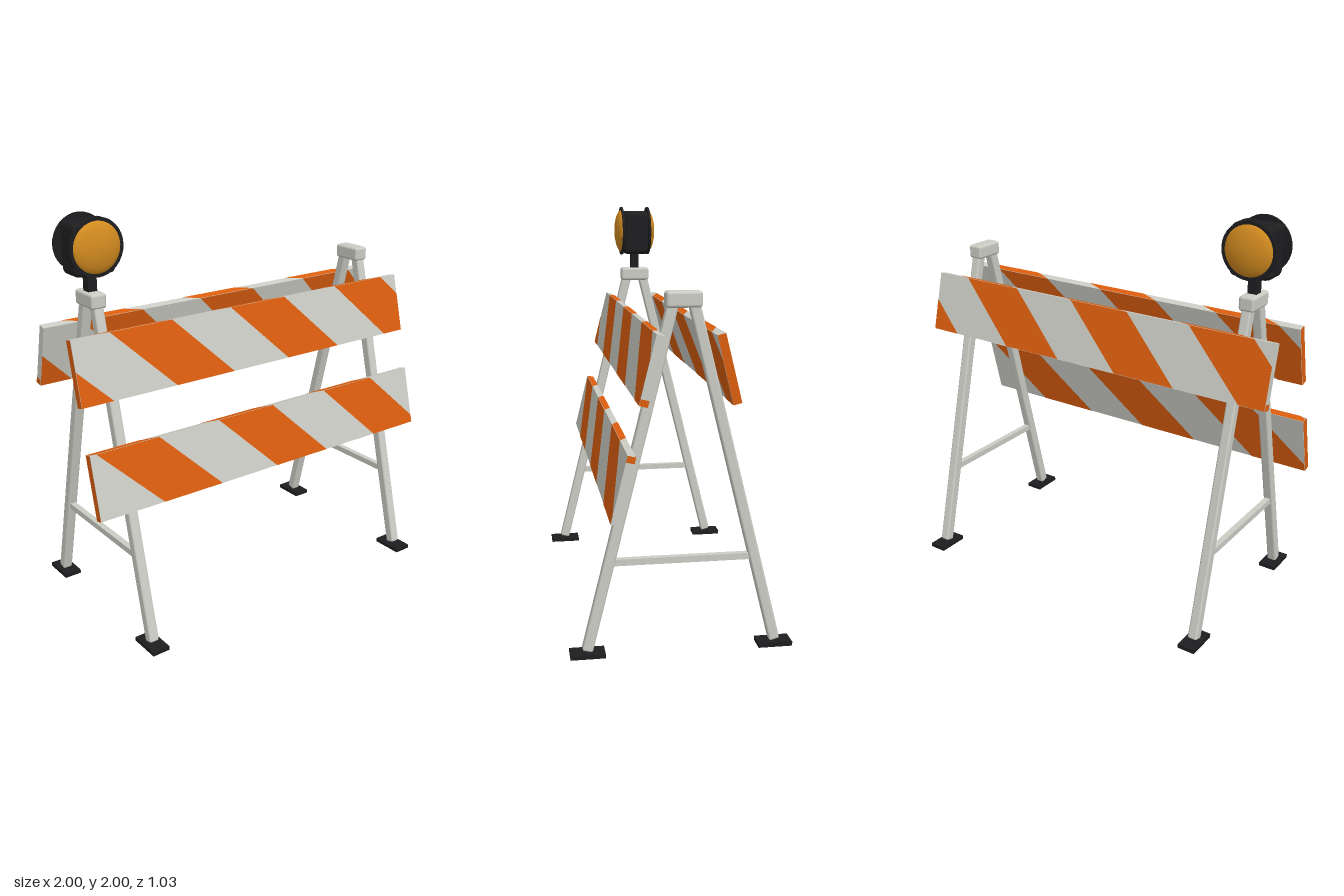
import * as THREE from 'three';
import { RoundedBoxGeometry } from 'three/addons/geometries/RoundedBoxGeometry.js';

const mat = (name, color) => {
  const m = new THREE.MeshStandardMaterial({ color });
  m.name = name;
  return m;
};

const TILT = 0.243;            // lean of legs and boards
const HALF = 0.997;            // half length of a board
const H = 0.308, T = 0.038;    // board height and thickness
const STRIPE = 0.335, STEP = 0.678;
const SKIN = 0.0015;           // painted faces sit just off the board

export function createModel() {
  const pale = mat('paleGrey', 0xcbccc4);
  const orange = mat('safetyOrange', 0xdb5d0e);
  const black = mat('blackPlastic', 0x1e1e20);
  const amber = mat('amberLens', 0xd48c20);

  const model = new THREE.Group();
  model.name = 'barricade';

  const add = (parent, name, geo, material, x = 0, y = 0, z = 0) => {
    const m = new THREE.Mesh(geo, material);
    m.name = name;
    m.position.set(x, y, z);
    parent.add(m);
    return m;
  };
  const rbox = (w, h, d, r) => new RoundedBoxGeometry(w, h, d, 2, r);

  // Keep the part of a polygon on one side of x = limit
  const clip = (pts, limit, sign) => {
    const out = [];
    pts.forEach((a, i) => {
      const b = pts[(i + 1) % pts.length];
      const da = sign * (limit - a.x), db = sign * (limit - b.x);
      if (da >= 0) out.push(a);
      if (da * db < 0) out.push(a.clone().lerp(b, da / (da - db)));
    });
    return out;
  };

  // Slanted stripes on a face of the given height, centred on its origin
  const stripeFace = (first, height, shift) => {
    const shapes = [];
    for (let s = first - STEP; s < 1.1; s += STEP) {
      let pts = [
        new THREE.Vector2(s + shift, -height / 2),
        new THREE.Vector2(s + shift + STRIPE, -height / 2),
        new THREE.Vector2(s + STRIPE, height / 2),
        new THREE.Vector2(s, height / 2),
      ];
      pts = clip(clip(pts, HALF, 1), -HALF, -1);
      if (pts.length > 2) shapes.push(new THREE.Shape(pts));
    }
    return new THREE.ShapeGeometry(shapes);
  };

  // Striped board, outer face towards its own +z; first is the first stripe on the top edge
  const board = (name, first, y, z, facing, endStripeY) => {
    const holder = new THREE.Group();
    holder.name = name;
    holder.rotation.y = facing;
    const g = new THREE.Group();
    g.name = name + 'Panel';
    g.position.set(0, y, z);
    g.rotation.x = -TILT;
    holder.add(g);
    add(g, 'panelCore', new THREE.BoxGeometry(2 * HALF, H, T), pale);

    const face = stripeFace(first, H, 0.31);
    add(g, 'outerStripes', face, orange, 0, 0, T / 2 + SKIN);
    add(g, 'innerStripes', face, orange, 0, 0, -T / 2 - SKIN).rotation.y = Math.PI;
    add(g, 'topStripes', stripeFace(first - 0.09, T, 0.09), orange, 0, H / 2 + SKIN, 0).rotation.x = -Math.PI / 2;
    add(g, 'bottomStripes', stripeFace(first + 0.31, T, 0.09), orange, 0, -H / 2 - SKIN, 0).rotation.x = Math.PI / 2;
    // Painted board ends
    add(g, 'endStripe', new THREE.PlaneGeometry(T, 0.03), orange, HALF + SKIN, endStripeY, 0).rotation.y = Math.PI / 2;
    add(g, 'endPaint', new THREE.PlaneGeometry(T, H), orange, -HALF - SKIN, 0, 0).rotation.y = -Math.PI / 2;
    model.add(holder);
  };
  board('upperFrontBoard', -0.8, 1.335, 0.165, 0, -H / 2 + 0.015);
  board('lowerFrontBoard', -0.965, 0.825, 0.288, 0, H / 2 - 0.015);
  board('backBoard', -0.8, 1.335, 0.165, Math.PI, -H / 2 + 0.015);

  // Two A-frames
  const legGeo = rbox(0.05, 1.62, 0.05, 0.01);
  const footGeo = new THREE.BoxGeometry(0.09, 0.02, 0.16);
  for (const side of [-1, 1]) {
    const frame = new THREE.Group();
    frame.name = side > 0 ? 'leftFrame' : 'rightFrame';
    frame.position.x = side * 0.806;
    for (const dir of [1, -1]) {
      const end = dir > 0 ? 'front' : 'back';
      add(frame, end + 'Leg', legGeo, pale, 0, 0.812, dir * 0.241).rotation.x = -dir * TILT;
      add(frame, end + 'Foot', footGeo, black, 0, 0.01, dir * 0.435);
    }
    add(frame, 'crossbar', new THREE.BoxGeometry(0.03, 0.03, 0.64), pale, 0, 0.44, 0);
    add(frame, 'topCap', rbox(0.078, 0.072, 0.16, 0.014), pale, 0, 1.615, 0);
    model.add(frame);
  }

  // Double-sided warning lamp
  const lamp = new THREE.Group();
  lamp.name = 'warningLamp';
  lamp.position.set(-0.806, 1.862, 0);
  add(lamp, 'lampPost', new THREE.BoxGeometry(0.046, 0.12, 0.046), black, 0, -0.16, 0);
  add(lamp, 'lampBody', rbox(0.21, 0.245, 0.145, 0.03), black, 0, -0.009, 0);
  const dome = [[0.119, 0], [0.112, 0.009], [0.09, 0.021], [0.055, 0.03], [0.025, 0.034], [0, 0.035]]
    .map(([r, h]) => new THREE.Vector2(r, h));
  const domeGeo = new THREE.LatheGeometry(dome, 40);
  const rimGeo = new THREE.CylinderGeometry(0.135, 0.135, 0.012, 32);
  for (const dir of [1, -1]) {
    const head = new THREE.Group();
    head.name = dir > 0 ? 'frontLens' : 'backLens';
    head.rotation.x = dir * Math.PI / 2;
    add(head, 'rim', rimGeo, black, 0, 0.075, 0);
    add(head, 'lens', domeGeo, amber, 0, 0.08, 0);
    lamp.add(head);
  }
  model.add(lamp);

  return model;
}
